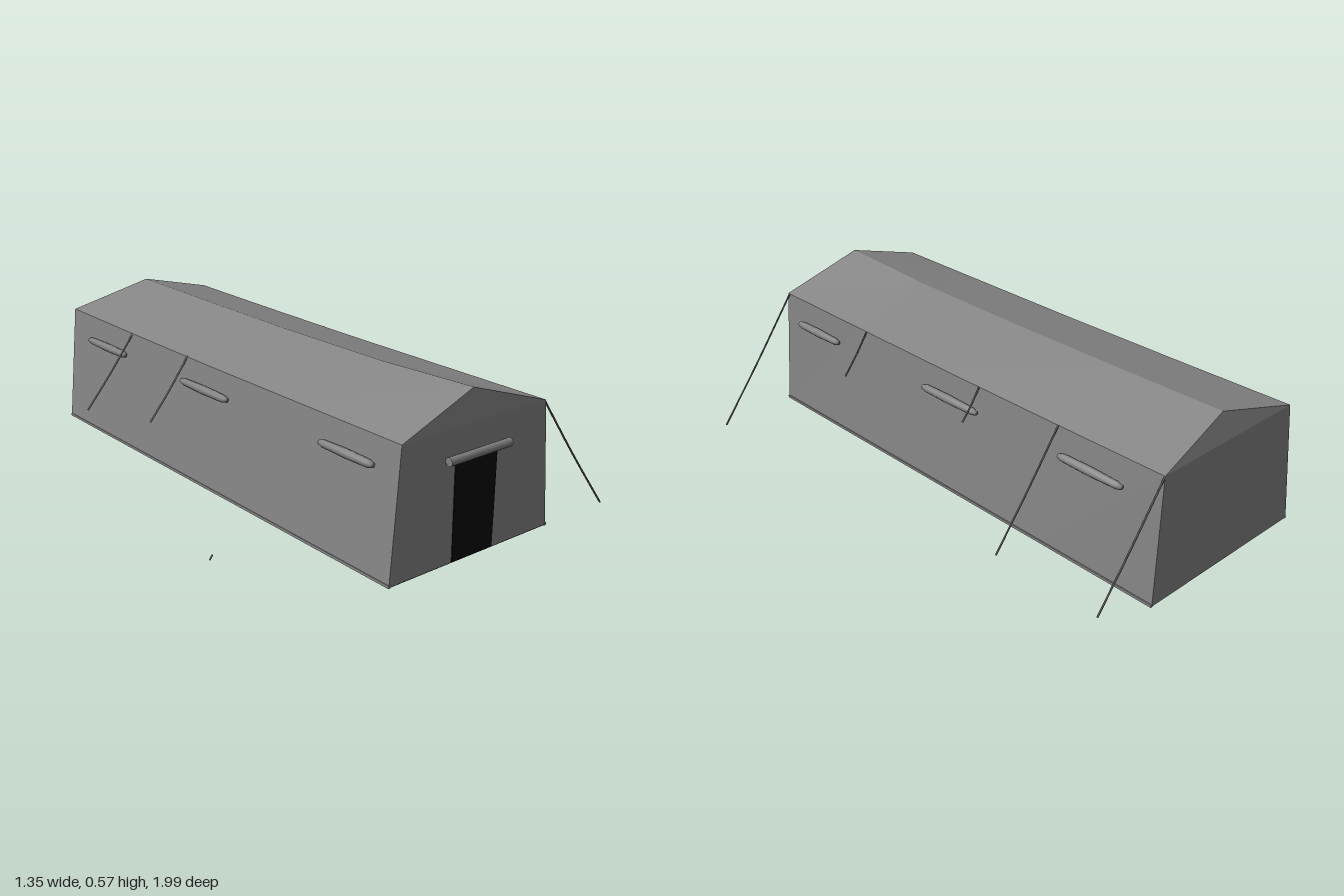
import * as THREE from 'three';

const canvas = new THREE.MeshStandardMaterial({ color: 0x868686 });
canvas.name = 'grey canvas';
canvas.flatShading = true;
const rolled = new THREE.MeshStandardMaterial({ color: 0x808080 });
rolled.name = 'rolled grey cloth';
const dark = new THREE.MeshStandardMaterial({ color: 0x060606 });
dark.name = 'black opening';
const cord = new THREE.MeshStandardMaterial({ color: 0x606060 });
cord.name = 'grey cord';

function addMesh(group, name, geometry, material) {
  const mesh = new THREE.Mesh(geometry, material);
  mesh.name = name;
  group.add(mesh);
  return mesh;
}

// Cross-section from the +x foot, over the ridge, to the -x foot
function section(zFoot, zEave, zRidge, eave, ridge) {
  return [
    [0.357, 0.015, zFoot], [0.32, eave, zEave], [0, ridge, zRidge],
    [-0.325, eave, zEave], [-0.365, 0.015, zFoot],
  ].map((p) => new THREE.Vector3(...p));
}

function tentGeometry() {
  const rings = [
    section(0.96, 0.955, 0.93, 0.47, 0.575),
    section(0.5, 0.5, 0.5, 0.468, 0.556),
    section(0, 0, 0, 0.466, 0.551),
    section(-0.5, -0.5, -0.5, 0.468, 0.553),
    section(-0.997, -0.987, -0.95, 0.472, 0.557),
  ];
  const points = [];
  for (let s = 0; s < rings.length - 1; s++) {
    for (let i = 0; i < 4; i++) {
      const [a, b] = [rings[s][i], rings[s][i + 1]];
      const [d, c] = [rings[s + 1][i], rings[s + 1][i + 1]];
      points.push(a, d, c, a, c, b);
    }
  }
  // End walls
  const front = rings[0], back = rings[rings.length - 1];
  const fan = [[0, 1, 3], [1, 2, 3], [0, 3, 4]];
  for (const [i, j, k] of fan) {
    points.push(front[i], front[j], front[k]);
    points.push(back[i], back[k], back[j]);
  }
  const geometry = new THREE.BufferGeometry().setFromPoints(points);
  geometry.computeVertexNormals();
  return geometry;
}

// Rolled-up blind: a soft spindle lying along z
function rollGeometry(length) {
  const h = length / 2;
  const profile = [[0, -h], [0.008, -h], [0.013, -h * 0.85], [0.016, 0], [0.014, h * 0.85], [0.009, h], [0, h]];
  return new THREE.LatheGeometry(profile.map((p) => new THREE.Vector2(...p)), 12).rotateX(Math.PI / 2);
}

// Slightly sagging guy rope from the eave outward
function addRope(group, side, z, endX, endY) {
  const start = new THREE.Vector3(side * 0.32, 0.468, z);
  const end = new THREE.Vector3(side * endX, endY, z);
  const middle = start.clone().lerp(end, 0.5);
  middle.y -= 0.006;
  const curve = new THREE.CatmullRomCurve3([start, middle, end]);
  addMesh(group, 'guyRope', new THREE.TubeGeometry(curve, 8, 0.0035, 5), cord);
}

export function createModel() {
  const tent = new THREE.Group();
  tent.name = 'tent';

  addMesh(tent, 'canvasShell', tentGeometry(), canvas);

  // Dark underside and doorway
  const floor = addMesh(tent, 'floor', new THREE.BoxGeometry(0.715, 0.005, 1.95), dark);
  floor.position.set(-0.004, 0.0145, -0.018);
  const door = addMesh(tent, 'doorway', new THREE.BoxGeometry(0.186, 0.345, 0.009), dark);
  door.position.set(-0.003, 0.188, 0.957);

  // Door roll
  const doorRoll = addMesh(tent, 'doorRoll', new THREE.CylinderGeometry(0.015, 0.015, 0.275, 12), rolled);
  doorRoll.rotation.z = Math.PI / 2;
  doorRoll.position.set(-0.005, 0.375, 0.974);

  // Window rolls and bottom hems on both sides
  for (const side of [-1, 1]) {
    for (const [z, length] of [[0.727, 0.25], [-0.04, 0.28], [-0.707, 0.27]]) {
      const roll = addMesh(tent, 'windowRoll', rollGeometry(length), rolled);
      roll.position.set(side * 0.344, 0.377, z);
    }
    const hem = addMesh(tent, 'bottomHem', new THREE.BoxGeometry(0.008, 0.01, 1.957), canvas);
    hem.position.set(side * 0.36 - 0.003, 0.017, -0.018);
  }

  // Guy ropes: side, z, end x, end y
  const ropes = [
    [1, 0.947, 0.67, 0.006], [1, 0.45, 0.43, 0.32], [1, -0.17, 0.4, 0.36],
    [1, -0.545, 0.6, 0.1], [1, -0.985, 0.6, 0.1],
    [-1, -0.17, 0.49, 0.25], [-1, -0.545, 0.535, 0.2],
  ];
  for (const rope of ropes) addRope(tent, ...rope);

  // Loose ground peg
  const peg = addMesh(tent, 'groundPeg', new THREE.CylinderGeometry(0.003, 0.003, 0.02, 5), cord);
  peg.position.set(-0.67, 0.015, 0.457);
  peg.rotation.z = -0.6;

  return tent;
}
